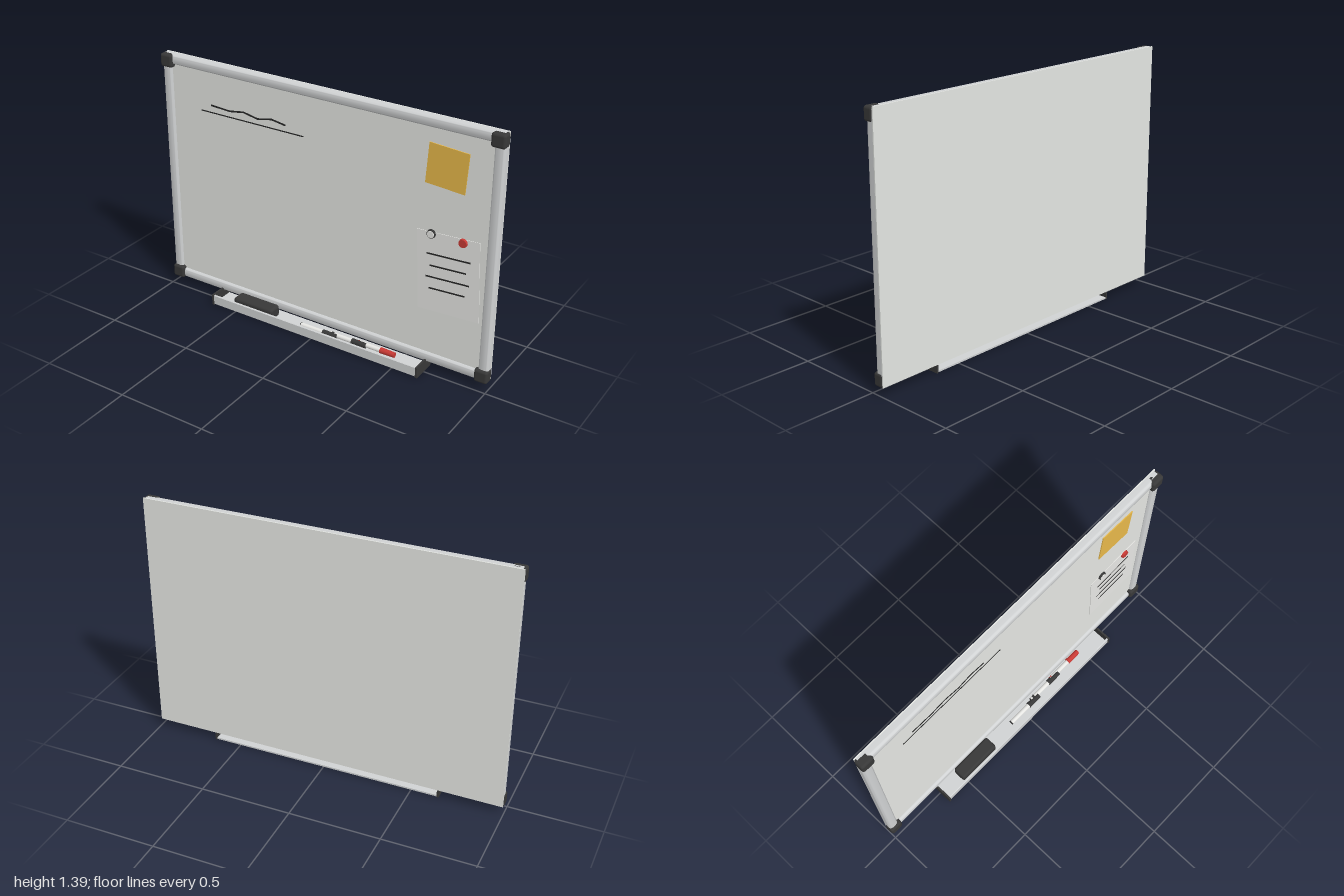
import * as THREE from 'three';
import { RoundedBoxGeometry } from 'three/addons/geometries/RoundedBoxGeometry.js';
import { toCreasedNormals } from 'three/addons/utils/BufferGeometryUtils.js';

const mat = (name, color) => {
  const m = new THREE.MeshStandardMaterial({ color });
  m.name = name;
  return m;
};

export function createModel() {
  const white = mat('board white', 0xe4e6e2);
  const silver = mat('aluminium', 0xd0d2d3);
  const dark = mat('dark plastic', 0x383838);
  const ink = mat('black ink', 0x262626);
  const yellow = mat('note yellow', 0xf2c14e);
  const red = mat('red plastic', 0xc83a35);
  const paperWhite = mat('paper white', 0xe9e9e6);

  const model = new THREE.Group();
  const add = (name, geometry, material, x = 0, y = 0, z = 0, parent = model) => {
    const mesh = new THREE.Mesh(geometry, material);
    mesh.name = name;
    mesh.position.set(x, y, z);
    parent.add(mesh);
    return mesh;
  };
  const box = (w, h, d) => new THREE.BoxGeometry(w, h, d);

  const W = 0.995, Y0 = 0.045, Y1 = 1.39, YC = (Y0 + Y1) / 2;
  const RAIL = 0.055, BACK = -0.072, FACE = -0.04;

  // Board: full-size back sheet and writing surface inside the frame
  add('backSheet', box(2 * W, Y1 - Y0, 0.006), white, 0, YC, BACK + 0.003);
  add('writingSurface', box(2 * W - 0.06, Y1 - Y0 - 0.06, 0.027), white, 0, YC, FACE - 0.0135);

  // Frame rails: rounded front profile, extruded along each side
  const rail = (length) => {
    const h = RAIL / 2, f = 0.042, r = 0.016;
    const s = new THREE.Shape();
    s.moveTo(-h, 0).lineTo(h, 0).lineTo(h, f - r);
    s.quadraticCurveTo(h, f - 0.002, h - r, f);
    s.lineTo(-h + r, f);
    s.quadraticCurveTo(-h, f - 0.002, -h, f - r);
    s.closePath();
    const g = new THREE.ExtrudeGeometry(s, { depth: length, bevelEnabled: false, curveSegments: 6 });
    g.translate(0, 0, -length / 2);
    g.rotateX(Math.PI / 2); // profile depth to +z, length along y
    return toCreasedNormals(g, 0.6);
  };
  for (const side of [-1, 1]) {
    add('sideRail', rail(Y1 - Y0 - 0.02), silver, side * (W - RAIL / 2), YC, BACK + 0.006);
    const across = add('crossRail', rail(2 * W - 0.02), silver, 0, YC + side * ((Y1 - Y0 - RAIL) / 2), BACK + 0.006);
    across.rotation.z = Math.PI / 2;
    // Corner caps
    for (const end of [0.0775, 1.3535]) {
      add('cornerCap', new RoundedBoxGeometry(0.075, 0.073, 0.058, 3, 0.014), dark, side * 0.9625, end, -0.039);
    }
  }

  // Extrudes a (z, y) outline along x, centred on x = 0
  const alongX = (points, width) => {
    const s = new THREE.Shape(points.map(([z, y]) => new THREE.Vector2(-z, y)));
    const g = new THREE.ExtrudeGeometry(s, { depth: width, bevelEnabled: false });
    g.translate(0, 0, -width / 2);
    g.rotateY(Math.PI / 2); // shape x becomes -z
    return g;
  };

  // Pen tray with front lip and stepped end caps
  const tray = new THREE.Group();
  tray.name = 'tray';
  model.add(tray);
  add('trayChannel', alongX([[-0.07, 0.003], [0.066, 0.003], [0.07, 0.007], [0.07, 0.057], [0.066, 0.06],
    [0.06, 0.06], [0.052, 0.012], [-0.07, 0.012]], 1.29), silver, 0, 0, 0, tray);
  for (const side of [-1, 1]) {
    add('trayEndCap', alongX([[-0.072, 0], [0.072, 0], [0.075, 0.003], [0.075, 0.062], [0.072, 0.065],
      [-0.018, 0.065], [-0.024, 0.042], [-0.072, 0.042]], 0.01), dark, side * 0.648, 0, 0, tray);
  }

  // Eraser lying in the tray
  add('eraser', new RoundedBoxGeometry(0.258, 0.068, 0.08, 3, 0.016), dark, -0.39, 0.046, 0.014);

  // Markers: white barrel, coloured cap and end plug
  const marker = (x, z, material, plug) => {
    const g = new THREE.Group();
    g.name = 'marker';
    g.position.set(x, 0.028, z);
    g.rotation.z = -Math.PI / 2; // local y runs along +x
    model.add(g);
    add('barrel', new THREE.CylinderGeometry(0.013, 0.013, 0.14, 16), paperWhite, 0, 0.07, 0, g);
    add('cap', new THREE.CylinderGeometry(0.0145, 0.0165, 0.085, 16), material, 0, 0.1825, 0, g);
    add('plug', new THREE.CylinderGeometry(0.0135, 0.0125, plug, 16), material, 0, plug / 2 - 0.002, 0, g);
  };
  marker(-0.095, 0.009, dark, 0.004);
  marker(0.08, -0.004, dark, 0.03);
  marker(0.25, -0.012, red, 0.012);

  // Thin ink strokes joining consecutive points
  const strokes = (name, points, thick, z) => {
    for (let i = 1; i < points.length; i++) {
      const [ax, ay] = points[i - 1], [bx, by] = points[i];
      const len = Math.hypot(bx - ax, by - ay);
      const m = add(name, box(len + thick * 0.4, thick, 0.003), ink, (ax + bx) / 2, (ay + by) / 2, z);
      m.rotation.z = Math.atan2(by - ay, bx - ax);
    }
  };
  strokes('underline', [[-0.755, 1.112], [-0.11, 1.112]], 0.006, FACE + 0.0005);
  strokes('scribble', [[-0.69, 1.153], [-0.57, 1.146], [-0.48, 1.16], [-0.39, 1.143], [-0.305, 1.161],
    [-0.22, 1.148]], 0.009, FACE + 0.0005);

  // Sticky note
  add('stickyNote', box(0.213, 0.213, 0.005), yellow, 0.706, 1.145, FACE + 0.0025).rotation.z = -0.065;

  // Paper sheet with tilted text strokes
  add('paperSheet', box(0.34, 0.44, 0.003), paperWhite, 0.741, 0.575, FACE + 0.0015).rotation.z = 0.052;
  for (let i = 0; i < 4; i++) {
    const half = i % 2 ? 0.0975 : 0.1175, y = 0.675 - i * 0.064;
    strokes('paperLine', [[0.738 - half, y - half * 0.056], [0.738 + half, y + half * 0.056]], 0.008, FACE + 0.003);
  }

  // Round magnets holding the sheet
  const disc = (r, h) => new THREE.CylinderGeometry(r * 0.92, r, h, 24).rotateX(Math.PI / 2);
  add('magnetBase', disc(0.024, 0.012), dark, 0.64, 0.78, FACE + 0.007);
  add('magnetFace', disc(0.0195, 0.004), paperWhite, 0.64, 0.78, FACE + 0.014);
  add('redMagnet', disc(0.023, 0.013), red, 0.813, 0.78, FACE + 0.0085);

  return model;
}
